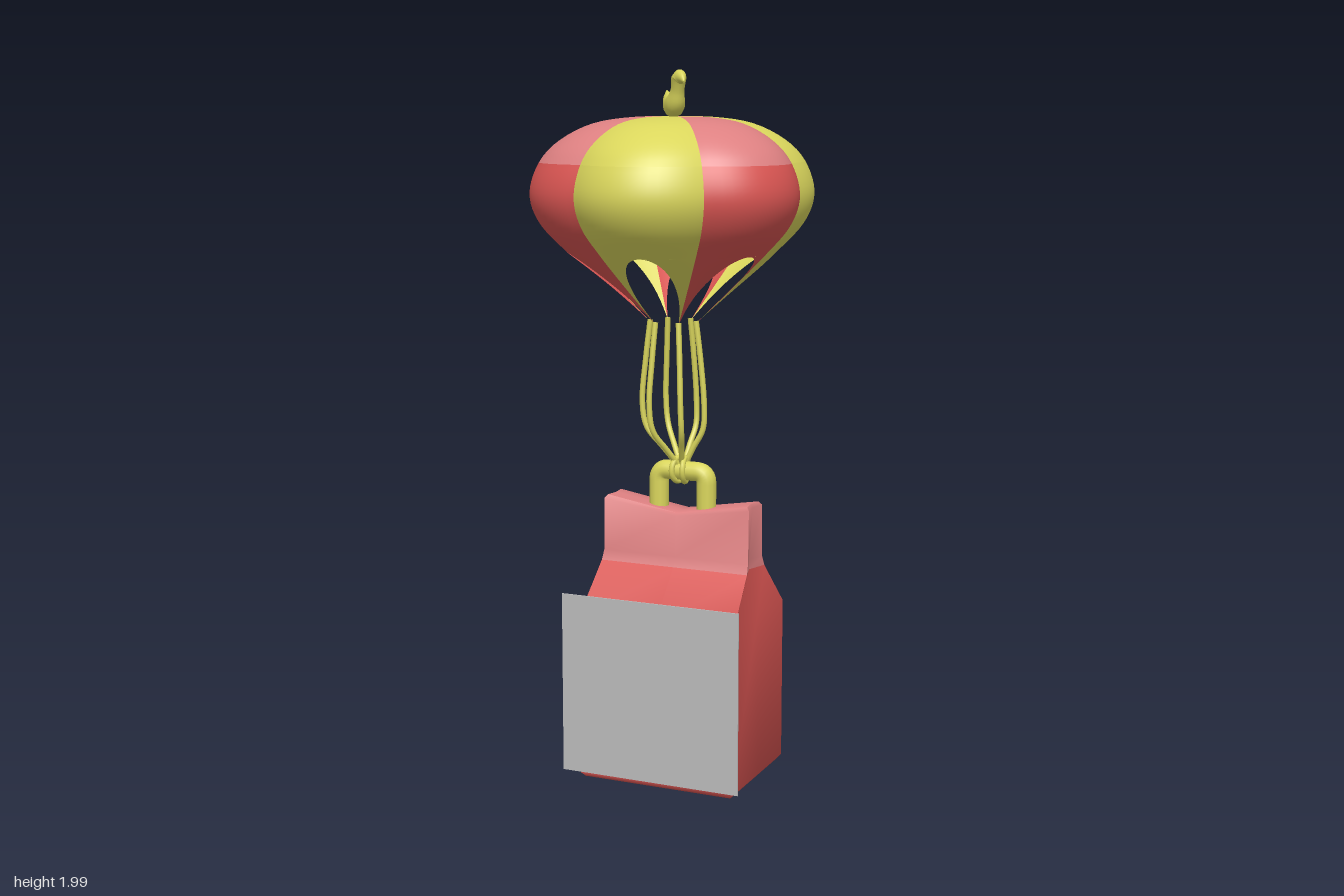
import * as THREE from 'three';
import { toCreasedNormals } from 'three/addons/utils/BufferGeometryUtils.js';

const TURN = 0.405; // the carton's twist about the vertical

// Rectangular grid of points p(u, v), u across and v downwards
function patch(cols, rows, p) {
  const pos = [], idx = [];
  for (let j = 0; j <= rows; j++)
    for (let i = 0; i <= cols; i++) pos.push(...p(i / cols, j / rows));
  for (let j = 0; j < rows; j++)
    for (let i = 0; i < cols; i++) {
      const a = j * (cols + 1) + i, b = a + cols + 1;
      idx.push(a, b, a + 1, a + 1, b, b + 1);
    }
  const g = new THREE.BufferGeometry();
  g.setAttribute('position', new THREE.Float32BufferAttribute(pos, 3));
  g.setIndex(idx);
  g.computeVertexNormals();
  return g;
}

// Rings of equal point count joined into a skin, optionally closed with fans
function loft(rings, bottom, top) {
  const n = rings[0].length, pos = rings.flat(2), idx = [];
  for (let j = 0; j < rings.length - 1; j++)
    for (let i = 0; i < n; i++) {
      const a = j * n + i, b = j * n + (i + 1) % n;
      idx.push(a, a + n, b, b, a + n, b + n);
    }
  const fan = (start, centre, flip) => {
    const c = pos.length / 3;
    pos.push(...centre);
    for (let i = 0; i < n; i++) {
      const a = start + i, b = start + (i + 1) % n;
      idx.push(c, flip ? b : a, flip ? a : b);
    }
  };
  if (bottom) fan(0, bottom, false);
  if (top) fan((rings.length - 1) * n, top, true);
  const g = new THREE.BufferGeometry();
  g.setAttribute('position', new THREE.Float32BufferAttribute(pos, 3));
  g.setIndex(idx);
  return toCreasedNormals(g, 0.9);
}

const V = (x, y, z) => new THREE.Vector3(x, y, z);

export function createModel() {
  const model = new THREE.Group();
  const material = (name, color, side = THREE.FrontSide) =>
    new THREE.MeshStandardMaterial({ name, color, side });
  const yellow = material('yellow', 0xdad65c, THREE.DoubleSide);
  const red = material('red', 0xd95552, THREE.DoubleSide);
  const pink = material('pink', 0xdd8081, THREE.DoubleSide);
  const grey = material('grey', 0xbcbcbc, THREE.DoubleSide);
  const add = (parent, name, geometry, mat) => {
    const mesh = new THREE.Mesh(geometry, mat);
    mesh.name = name;
    parent.add(mesh);
    return mesh;
  };

  // Canopy: six bulging gores; the profile holds seam radius and height
  const canopy = new THREE.Group();
  canopy.name = 'canopy';
  model.add(canopy);
  const profile = new THREE.SplineCurve([
    [0.001, 1.868], [0.1, 1.867], [0.2, 1.85], [0.283, 1.805], [0.335, 1.745],
    [0.359, 1.66], [0.335, 1.58], [0.268, 1.5], [0.165, 1.395], [0.068, 1.3],
  ].map(([r, y]) => new THREE.Vector2(r, y)));
  const SPLIT = 4 / 9, ARCH = 7 / 9;
  const onGore = (k, u, t) => {
    const q = profile.getPoint(t);
    const r = q.x * (1 + 0.11 * Math.cos(u * Math.PI / 2));
    const a = (k + u / 2) * Math.PI / 3;
    return [r * Math.sin(a), q.y, r * Math.cos(a)];
  };
  const band = (k, t0, t1) =>
    patch(16, 16, (u, v) => onGore(k, 2 * u - 1, t0 + (t1 - t0) * v));
  // Fabric left beside the arched opening, tapering to the seam
  const leg = (k, side) => patch(6, 20, (u, v) => {
    const t = ARCH + (1 - ARCH) * v * v;
    const f = Math.min(1, Math.sqrt((t - ARCH) / (1 - ARCH)));
    const s = side > 0 ? f + (1 - f) * u : -1 + (1 - f) * u;
    return onGore(k, s, t);
  });
  for (let k = 0; k < 6; k++) {
    const lower = k % 2 ? yellow : red;
    add(canopy, 'goreTop', band(k, 0, SPLIT), k % 2 ? yellow : pink);
    add(canopy, 'goreMiddle', band(k, SPLIT, ARCH), lower);
    for (const side of [-1, 1]) add(canopy, 'goreLeg', leg(k, side), lower);
  }

  // Cords from the seam tips down to the handle
  for (let k = 0; k < 6; k++) {
    const a = k * Math.PI / 3;
    const at = (r, y, w) => V(r * Math.cos(a) + 0.012 * w, y, r * Math.sin(a) + 0.02 * w);
    const path = new THREE.CatmullRomCurve3([
      at(0.067, 1.305, 0), at(0.08, 1.2, 0), at(0.091, 1.07, 0),
      at(0.083, 1.0, 0.2), at(0.045, 0.945, 0.6), at(0.014, 0.9, 1),
    ]);
    add(model, 'cord', new THREE.TubeGeometry(path, 30, 0.008, 8), yellow);
  }

  // Bird on top: one tube whose radius follows its body from tail to beak
  const spine = [ // along, height, radius
    [-0.066, 1.937, 0.003], [-0.048, 1.918, 0.019], [-0.012, 1.898, 0.031],
    [0.026, 1.905, 0.033], [0.046, 1.94, 0.023], [0.06, 1.973, 0.025],
    [0.086, 1.973, 0.016], [0.11, 1.962, 0.003],
  ];
  const path = new THREE.CatmullRomCurve3(spine.map(([z, y]) => V(0, y, z)));
  const radii = new THREE.CatmullRomCurve3(spine.map(([, , r], i) => V(r, i, 0)));
  path.getPointAt = path.getPoint; // keeps centres and radii in step
  const birdShape = new THREE.TubeGeometry(path, 42, 1, 14);
  const bp = birdShape.attributes.position;
  for (let i = 0; i < bp.count; i++) {
    const t = Math.floor(i / 15) / 42;
    const c = path.getPoint(t), r = Math.max(0.002, radii.getPoint(t).x);
    const p = V(0, 0, 0).fromBufferAttribute(bp, i).sub(c).multiplyScalar(r);
    p.x *= 0.8;
    p.add(c);
    bp.setXYZ(i, p.x, p.y, p.z);
  }
  birdShape.computeVertexNormals();
  add(model, 'bird', birdShape, yellow).rotation.y = -0.48;

  // Carton, turned as one group
  const carton = new THREE.Group();
  carton.name = 'carton';
  carton.position.set(0.013, 0, 0.026);
  carton.rotation.y = TURN;
  model.add(carton);
  // Eight-point section: inset folds the ends in, dip lowers the side middles
  const ring = (y, hx, hz, inset = 0, dip = 0) => [
    [-hx, y, hz], [0, y, hz - inset], [hx, y, hz], [hx, y - dip, 0],
    [hx, y, -hz], [0, y, -hz + inset], [-hx, y, -hz], [-hx, y - dip, 0],
  ].reverse();
  const neck = ring(0.612, 0.066, 0.224, 0.02);
  add(carton, 'cartonBody', loft([
    ring(0, 0.18, 0.224), ring(0.012, 0.19, 0.234),
    ring(0.48, 0.19, 0.234, 0.004), neck,
  ], [0, 0, 0]).scale(1, 1, 1), red);
  add(carton, 'cartonTop', loft([
    neck, ring(0.64, 0.054, 0.222, 0.018),
    ring(0.79, 0.05, 0.222, 0.008, 0.033), ring(0.8, 0.042, 0.214, 0.006, 0.035),
  ], null, [0, 0.766, 0]), pink);

  // Thin label plate on the carton's right side
  const plate = add(carton, 'sidePlate', new THREE.BoxGeometry(0.004, 0.52, 0.538), grey);
  plate.position.set(-0.198, 0.278, -0.016);

  // Handle and the cord loop around it
  const bar = new THREE.CurvePath();
  const R = 0.03, w = 0.073, h = 0.879;
  bar.add(new THREE.LineCurve3(V(0, 0.74, -w), V(0, h - R, -w)));
  bar.add(new THREE.QuadraticBezierCurve3(V(0, h - R, -w), V(0, h, -w), V(0, h, -w + R)));
  bar.add(new THREE.LineCurve3(V(0, h, -w + R), V(0, h, w - R)));
  bar.add(new THREE.QuadraticBezierCurve3(V(0, h, w - R), V(0, h, w), V(0, h - R, w)));
  bar.add(new THREE.LineCurve3(V(0, h - R, w), V(0, 0.74, w)));
  add(carton, 'handle', new THREE.TubeGeometry(bar, 60, 0.028, 12), yellow);
  for (const z of [-0.012, 0.008]) {
    const loop = add(carton, 'cordLoop', new THREE.TorusGeometry(0.034, 0.008, 8, 24), yellow);
    loop.position.set(0, 0.882, z);
    loop.rotation.y = z * 20;
  }
  return model;
}
